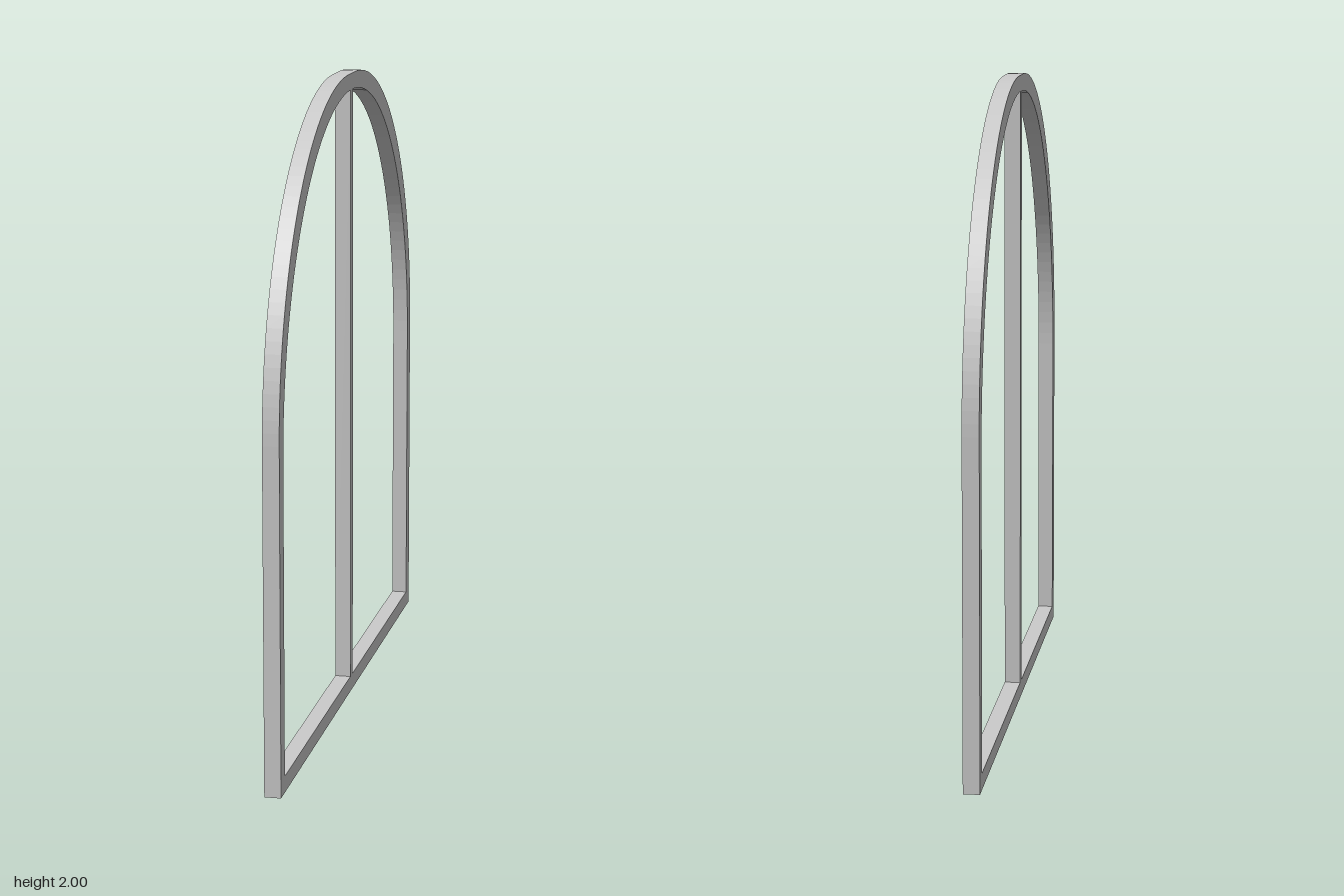
import * as THREE from 'three';

const DEPTH = 0.05;   // thickness along x
const BAR = 0.05;     // width of the frame bars
const MULLION = 0.036;

// Arched outline: straight sides, then two quarter arcs meeting at the top
function archOutline(path, half, base, radius, cx, cy) {
  path.moveTo(-half, base);
  path.lineTo(half, base);
  path.lineTo(half, cy);
  path.absarc(cx, cy, radius, 0, Math.PI / 2, false);
  path.absarc(-cx, cy, radius, Math.PI / 2, Math.PI, false);
  path.lineTo(-half, base);
  return path;
}

export function createModel() {
  const group = new THREE.Group();
  group.name = 'archedWindowFrame';
  const material = new THREE.MeshStandardMaterial({ color: 0xcccccc });

  // Outer frame with the arched opening cut out
  const shape = archOutline(new THREE.Shape(), 1, 0, 0.95, 0.05, 1.05);
  shape.holes.push(archOutline(new THREE.Path(), 1 - BAR, BAR, 0.95, 0, 1));
  const frameGeometry = new THREE.ExtrudeGeometry(shape, {
    depth: DEPTH, bevelEnabled: false, curveSegments: 20,
  });
  frameGeometry.translate(0, 0, -DEPTH / 2);
  frameGeometry.rotateY(Math.PI / 2);
  const frame = new THREE.Mesh(frameGeometry, material);
  frame.name = 'archFrame';
  group.add(frame);

  // Central upright bar, from sill to crown
  const height = 2 - 2 * BAR;
  const mullion = new THREE.Mesh(new THREE.BoxGeometry(DEPTH, height, MULLION), material);
  mullion.name = 'centreMullion';
  mullion.position.y = BAR + height / 2;
  group.add(mullion);

  return group;
}
